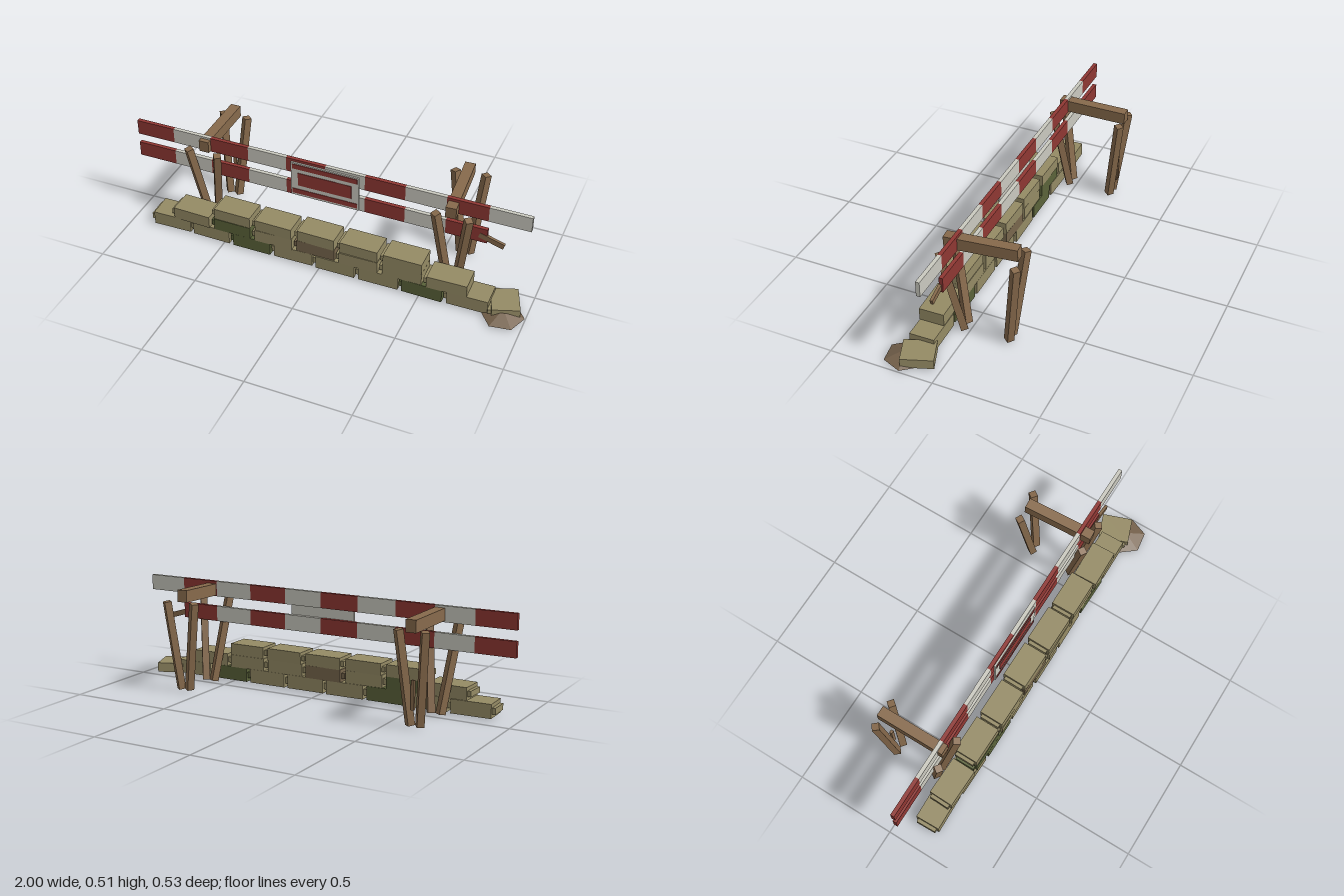
import * as THREE from 'three';

const mat = (name, color, flat = true) => {
  const m = new THREE.MeshStandardMaterial({ color, flatShading: flat });
  m.name = name;
  return m;
};

export function createModel() {
  const root = new THREE.Group();
  root.name = 'barricade';
  const red = mat('faded red paint', 0x8f3733);
  const white = mat('dirty white paint', 0xcbcac0);
  const wood = mat('weathered wood', 0x876a4c);
  const sand = mat('tan sackcloth', 0x958b65);
  const green = mat('olive sackcloth', 0x5b633a);
  const brown = mat('brown sackcloth', 0x78674d);
  const dirt = mat('spilled dirt', 0x76624c);

  const box = (parent, name, material, w, h, d, x, y, z) => {
    const m = new THREE.Mesh(new THREE.BoxGeometry(w, h, d), material);
    m.name = name;
    m.position.set(x, y, z);
    parent.add(m);
    return m;
  };

  // Square timber running between two points
  const timber = (parent, name, a, b, w, h) => {
    const p = new THREE.Vector3(...a), q = new THREE.Vector3(...b);
    const m = box(parent, name, wood, w, h, p.distanceTo(q), 0, 0, 0);
    m.position.copy(p).add(q).multiplyScalar(0.5);
    m.lookAt(q);
    return m;
  };

  // Striped planks: alternating painted segments
  const seg = 0.1963;
  const plank = (name, count, y) => {
    const g = new THREE.Group();
    g.name = name;
    for (let i = 0; i < count; i++) {
      box(g, i % 2 ? 'whiteStripe' : 'redStripe', i % 2 ? white : red,
        seg, 0.075, 0.019, -1 + seg * (i + 0.5), y, 0.0625);
    }
    root.add(g);
  };
  plank('upperPlank', 10, 0.4725);
  plank('lowerPlank', 9, 0.3475);
  timber(root, 'brokenPlankEnd', [0.73, 0.348, 0.067], [0.848, 0.312, 0.067], 0.014, 0.026);

  // Warning panel with red bars
  const sign = new THREE.Group();
  sign.name = 'warningPanel';
  root.add(sign);
  box(sign, 'panel', white, 0.34, 0.182, 0.008, -0.018, 0.406, 0.076);
  box(sign, 'topBar', red, 0.326, 0.025, 0.003, -0.018, 0.477, 0.081);
  box(sign, 'bottomBar', red, 0.326, 0.025, 0.003, -0.018, 0.339, 0.081);
  box(sign, 'centreBar', red, 0.268, 0.07, 0.003, -0.018, 0.409, 0.081);

  // Trestles: a cross beam on two pairs of splayed legs
  const trestle = (name, beam, legs) => {
    const g = new THREE.Group();
    g.name = name;
    timber(g, 'crossBeam', beam[0], beam[1], 0.05, 0.058);
    legs.forEach(([foot, top]) => timber(g, 'leg', foot, top, 0.034, 0.034));
    root.add(g);
    return g;
  };
  const right = trestle('rightTrestle', [[-0.632, 0.471, 0.095], [-0.632, 0.471, -0.247]], [
    [[-0.655, 0.012, 0.035], [-0.707, 0.447, 0.108]],
    [[-0.608, 0.012, 0.035], [-0.557, 0.447, 0.108]],
    [[-0.655, 0.012, -0.185], [-0.695, 0.45, -0.235]],
    [[-0.608, 0.012, -0.185], [-0.567, 0.45, -0.235]],
  ]);
  timber(right, 'brace', [-0.632, 0.09, -0.213], [-0.632, 0.225, -0.213], 0.016, 0.014);
  trestle('leftTrestle', [[0.605, 0.465, 0.119], [0.583, 0.48, -0.223]], [
    [[0.584, 0.008, 0.035], [0.533, 0.441, 0.112]],
    [[0.628, 0.008, 0.032], [0.687, 0.441, 0.108]],
    [[0.58, 0.014, -0.182], [0.515, 0.45, -0.222]],
    [[0.622, 0.014, -0.187], [0.66, 0.45, -0.237]],
  ]);

  // Sandbags: each is a block with a tied end on one side
  let seed = 7;
  const rnd = () => (seed = (seed * 16807) % 2147483647) / 2147483647 - 0.5;
  const bag = (parent, material, w, h, d, x, y, z, yaw) => {
    const g = new THREE.Group();
    g.name = 'sandbag';
    box(g, 'sack', material, w, h, d, 0, 0, 0);
    box(g, 'tiedEnd', material, 0.02, h * 0.45, d * 0.82, -w / 2 - 0.007, 0, 0);
    g.position.set(x, y, z);
    g.rotation.y = yaw;
    parent.add(g);
  };
  const rows = [
    { name: 'bottomRow', n: 8, x: -0.783, y: 0.045, h: 0.068, w: 0.196, special: { 2: green, 6: green } },
    { name: 'middleRow', n: 7, x: -0.667, y: 0.109, h: 0.062, w: 0.192, special: { 1: green, 3: brown } },
    { name: 'topRow', n: 5, x: -0.449, y: 0.168, h: 0.058, w: 0.188, special: {} },
  ];
  rows.forEach((r) => {
    const g = new THREE.Group();
    g.name = r.name;
    for (let i = 0; i < r.n; i++) {
      bag(g, r.special[i] || sand, r.w, r.h, 0.12, r.x + i * 0.2165, r.y, 0.139 + rnd() * 0.008, rnd() * 0.06);
    }
    root.add(g);
  });

  // Burst bag at the end and the dirt spilling from it
  bag(root, sand, 0.13, 0.047, 0.15, 0.89, 0.0345, 0.121, 0.35);
  const pile = new THREE.Mesh(new THREE.CylinderGeometry(0.024, 0.1, 0.03, 6), dirt);
  pile.name = 'dirtPile';
  pile.position.set(0.899, 0.026, 0.178);
  pile.rotation.y = Math.PI / 6 + 0.15;
  root.add(pile);

  return root;
}
